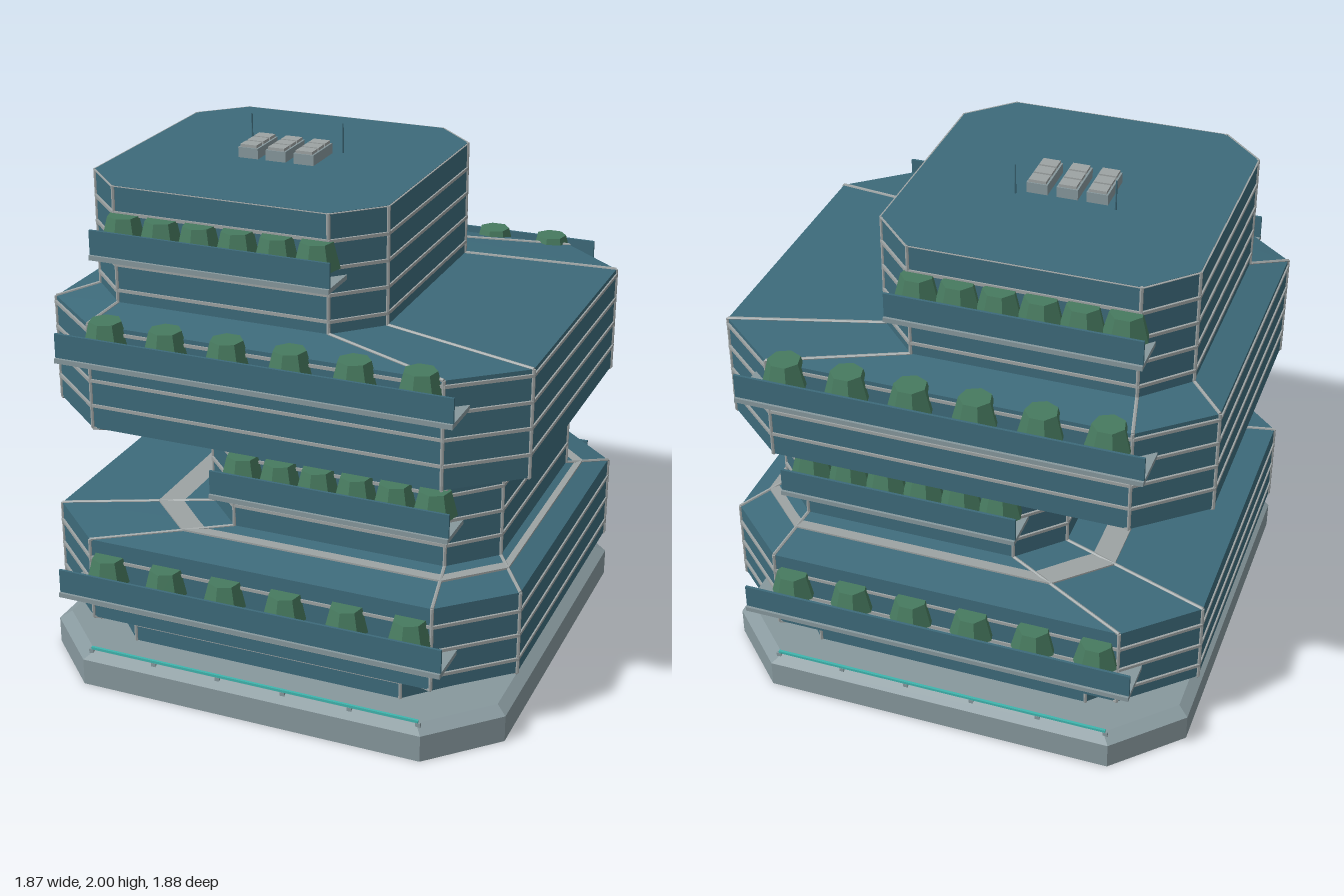
import * as THREE from 'three';

const mat = (color) => new THREE.MeshStandardMaterial({ color, flatShading: true, side: THREE.DoubleSide });

// Chamfered rectangle, symmetric in z: x range, half depth, chamfer in x and z
function octagon(x0, x1, hz, cx, cz, grow = 0) {
  x0 -= grow; x1 += grow; hz += grow;
  return [
    [x1, -hz + cz], [x1, hz - cz], [x1 - cx, hz], [x0 + cx, hz],
    [x0, hz - cz], [x0, -hz + cz], [x0 + cx, -hz], [x1 - cx, -hz],
  ];
}

// Closed solid through a stack of { y, p: outline }
function loft(rings) {
  const pos = [];
  const put = (...pts) => pts.forEach((p) => pos.push(...p));
  const at = (r, i) => { const q = r.p[i % 8]; return [q[0], r.y, q[1]]; };
  for (let k = 0; k < rings.length - 1; k++) {
    const lo = rings[k], hi = rings[k + 1];
    for (let i = 0; i < 8; i++) {
      put(at(lo, i), at(hi, i), at(lo, i + 1));
      put(at(lo, i + 1), at(hi, i), at(hi, i + 1));
    }
  }
  const lo = rings[0], hi = rings[rings.length - 1];
  for (let i = 1; i < 7; i++) {
    put(at(lo, 0), at(lo, i), at(lo, i + 1));
    put(at(hi, 0), at(hi, i + 1), at(hi, i));
  }
  const g = new THREE.BufferGeometry();
  g.setAttribute('position', new THREE.Float32BufferAttribute(pos, 3));
  g.computeVertexNormals();
  return g;
}

export function createModel() {
  const model = new THREE.Group();
  const glass = mat(0x3d6a7a), concrete = mat(0x87989d), trim = mat(0x9da3a3);
  const leaf = mat(0x477a5f), glow = mat(0x3fb5ae);

  const add = (name, geometry, material, parent = model, x = 0, y = 0, z = 0) => {
    const m = new THREE.Mesh(geometry, material);
    m.name = name;
    m.position.set(x, y, z);
    parent.add(m);
    return m;
  };
  const box = (name, w, h, d, material, parent, x, y, z) =>
    add(name, new THREE.BoxGeometry(w, h, d), material, parent, x, y, z);

  // Plinth with bevelled top
  add('plinth', loft([
    { y: 0, p: octagon(-0.92, 0.92, 0.92, 0.24, 0.24) },
    { y: 0.105, p: octagon(-0.92, 0.92, 0.92, 0.24, 0.24) },
    { y: 0.13, p: octagon(-0.88, 0.88, 0.88, 0.23, 0.23) },
  ]), concrete);

  // Stacked, shifted tower volumes
  const volumes = [
    { y0: 0.12, y1: 0.22, o: [-0.75, 0.75, 0.75, 0.21, 0.22] },
    { y0: 0.24, y1: 0.57, o: [-0.93, 0.93, 0.82, 0.25, 0.23] },
    { y0: 0.61, y1: 0.98, o: [-0.355, 0.8, 0.58, 0.16, 0.16] },
    { y0: 1.0, y1: 1.41, o: [-0.93, 0.93, 0.75, 0.25, 0.21] },
    { y0: 1.44, y1: 1.885, o: [-0.805, 0.35, 0.58, 0.16, 0.16] },
  ];
  const rings = volumes.flatMap((v) => [v.y0, v.y1].map((y) => ({ y, p: octagon(...v.o), o: v.o })));
  add('tower', loft(rings), glass);

  // Thin floor bands; between volumes they follow the sloping outline
  const bands = new THREE.Group();
  bands.name = 'floorBands';
  model.add(bands);
  for (let k = 0; k < 18; k++) {
    const y = 0.2 + k * 0.099;
    const i = Math.min(rings.length - 2, rings.findIndex((r) => r.y > y) - 1);
    const a = rings[i], b = rings[i + 1];
    const t = (y - a.y) / (b.y - a.y);
    const p = octagon(...a.o.map((n, j) => n + (b.o[j] - n) * t), 0.006);
    const h = k === 17 ? 0.001 : 0.006;
    add('floorBand', loft([{ y: y - h, p }, { y: y + h, p }]), trim, bands);
  }

  // Corner mullions along every tower edge
  const mullions = new THREE.Group();
  mullions.name = 'cornerMullions';
  model.add(mullions);
  const up = new THREE.Vector3(0, 1, 0);
  for (let k = 0; k < rings.length - 1; k++) {
    for (let i = 0; i < 8; i++) {
      const [a, b] = [rings[k], rings[k + 1]].map((r) => new THREE.Vector3(r.p[i][0], r.y, r.p[i][1]));
      const d = b.clone().sub(a);
      const bar = add('mullion', new THREE.CylinderGeometry(0.007, 0.007, d.length(), 6), trim, mullions);
      bar.position.copy(a).add(b).multiplyScalar(0.5);
      bar.quaternion.setFromUnitVectors(up, d.normalize());
    }
  }

  // Planted balconies on the front and back of each volume
  const potGeo = new THREE.CylinderGeometry(0.05, 0.045, 0.04, 8);
  const shrubGeo = new THREE.CylinderGeometry(0.06, 0.085, 0.095, 7);
  const balconies = [
    { y: 0.388, wall: 0.82, x: 0, w: 1.51, step: 0.24 },
    { y: 0.785, wall: 0.58, x: 0.225, w: 0.93, step: 0.15 },
    { y: 1.309, wall: 0.75, x: 0, w: 1.51, step: 0.24 },
    { y: 1.653, wall: 0.58, x: -0.225, w: 0.93, step: 0.15 },
  ];
  for (const b of balconies) {
    for (const s of [1, -1]) {
      const g = new THREE.Group();
      g.name = s > 0 ? 'frontBalcony' : 'backBalcony';
      g.position.set(b.x, b.y, s * b.wall);
      model.add(g);
      box('balconySlab', b.w, 0.018, 0.18, concrete, g, 0, -0.009, s * 0.03);
      box('balconyParapet', b.w, 0.092, 0.01, glass, g, 0, 0.046, s * 0.105);
      for (let i = 0; i < 6; i++) {
        const x = (i - 2.5) * b.step;
        add('planter', potGeo, concrete, g, x, 0.02, s * 0.01);
        add('shrub', shrubGeo, leaf, g, x, 0.083, s * 0.01);
      }
    }
  }

  // Light rails on small feet along the plinth
  for (const s of [1, -1]) {
    box('lightRail', 1.32, 0.01, 0.01, glow, model, 0, 0.143, s * 0.885);
    for (let i = 0; i < 6; i++) {
      box('railFoot', 0.018, 0.03, 0.012, concrete, model, (i - 2.5) * 0.264, 0.123, s * 0.885);
    }
  }

  // Rooftop cooling units, each a row of three cells
  for (const x of [-0.34, -0.228, -0.115]) {
    box('coolingUnit', 0.08, 0.04, 0.18, concrete, model, x, 1.905, 0);
    for (const z of [-0.06, 0, 0.06]) {
      box('coolingCell', 0.066, 0.012, 0.05, trim, model, x, 1.93, z);
    }
  }

  // Antennas
  for (const x of [-0.415, -0.04]) {
    add('antenna', new THREE.CylinderGeometry(0.003, 0.004, 0.12, 6), glass, model, x, 1.94, -0.11);
  }
  return model;
}
